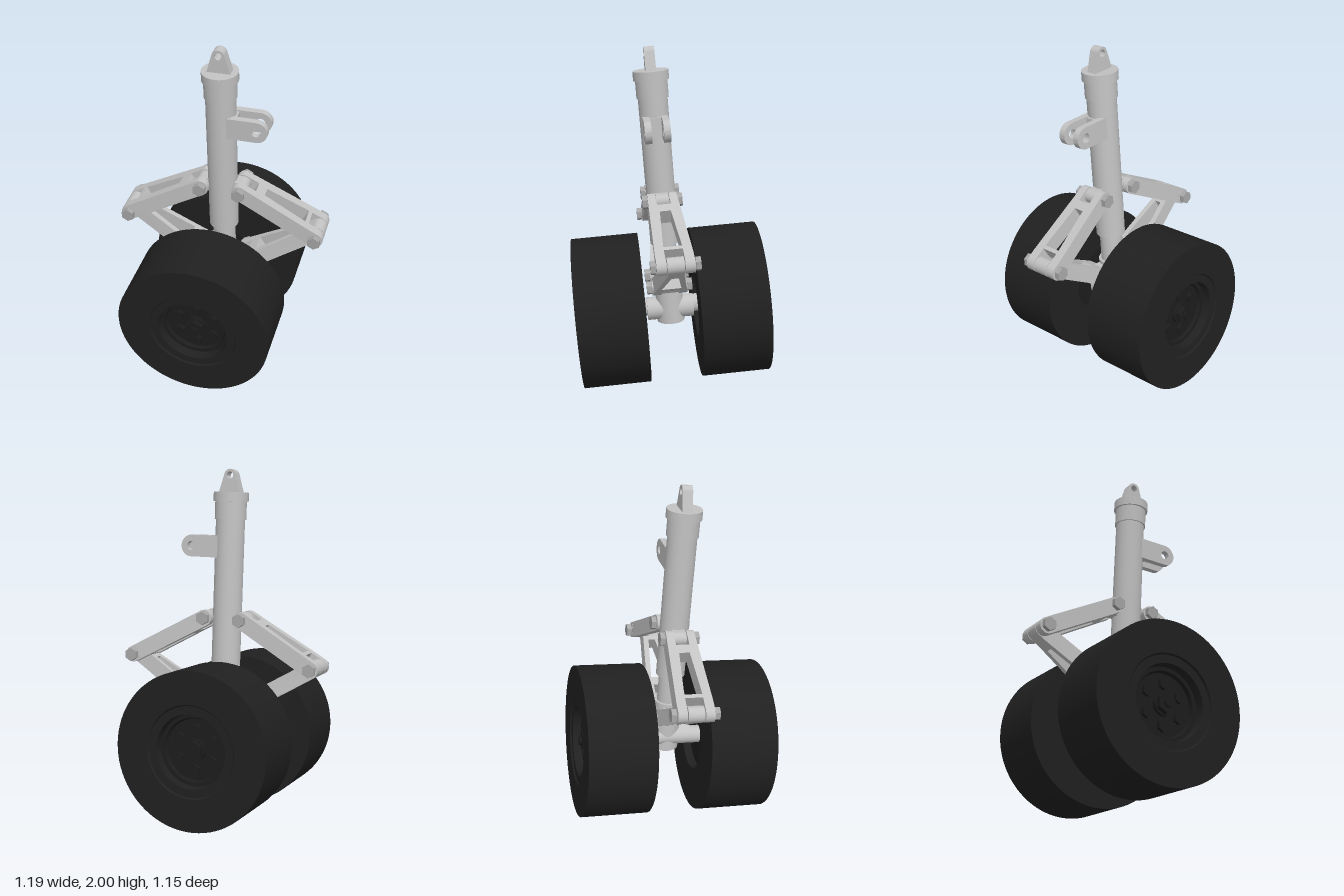
import * as THREE from 'three';
import { toCreasedNormals } from 'three/addons/utils/BufferGeometryUtils.js';

const mat = (name, color, side = THREE.FrontSide) => {
  const m = new THREE.MeshStandardMaterial({ color, side });
  m.name = name;
  return m;
};

export function createModel() {
  const metal = mat('light grey metal', 0xc2c2c2);
  const steel = mat('bolt steel', 0xa6a6a6);
  const rubber = mat('black rubber', 0x202020);
  const dark = mat('dark wheel hub', 0x1c1c1c);

  const add = (parent, name, geo, material, x = 0, y = 0, z = 0) => {
    const mesh = new THREE.Mesh(geo, material);
    mesh.name = name;
    mesh.position.set(x, y, z);
    parent.add(mesh);
    return mesh;
  };
  // cylinder lying along z between two depths
  const rod = (r, z0, z1, sides = 32) =>
    new THREE.CylinderGeometry(r, r, z1 - z0, sides).rotateX(Math.PI / 2).translate(0, 0, (z0 + z1) / 2);
  const lathe = (pts, seg) =>
    toCreasedNormals(new THREE.LatheGeometry(pts.map(p => new THREE.Vector2(...p)), seg), 0.5);
  const plate = (shape, depth) => toCreasedNormals(
    new THREE.ExtrudeGeometry(shape, { depth, bevelEnabled: false, curveSegments: 16 }).translate(0, 0, -depth / 2), 0.5);
  const poly = pts => pts.map(p => new THREE.Vector2(...p));

  const model = new THREE.Group();
  model.name = 'landingGear';
  // whole gear leans forward about the axle
  const gear = new THREE.Group();
  gear.name = 'gear';
  gear.position.set(-0.007, 0.482, 0);
  gear.rotation.x = 0.0785;
  model.add(gear);

  // strut: outer cylinder with collars, piston, and axle block
  add(gear, 'strutCylinder', lathe([[0, 0.4], [0.083, 0.4], [0.083, 1.24], [0.09, 1.24], [0.09, 1.34],
    [0.1, 1.34], [0.1, 1.392], [0, 1.392]], 48), metal);
  add(gear, 'piston', lathe([[0, -0.08], [0.08, -0.08], [0.08, 0.23], [0.065, 0.23], [0.065, 0.42]], 40), metal);
  add(gear, 'axle', rod(0.067, -0.135, 0.135), metal);
  add(gear, 'axleStub', rod(0.052, -0.2, 0.2), metal, -0.03);

  // top mounting lug
  const topLug = new THREE.Shape();
  topLug.moveTo(-0.068, 1.38);
  topLug.lineTo(0.068, 1.38);
  topLug.lineTo(0.034, 1.495);
  topLug.absarc(0, 1.487, 0.035, 0.23, Math.PI - 0.23, false);
  topLug.closePath();
  topLug.holes.push(new THREE.Path().absarc(0, 1.487, 0.02, 0, Math.PI * 2, true));
  add(gear, 'topLug', plate(topLug, 0.058), metal);

  // pair of side lugs
  const sideLug = new THREE.Shape();
  sideLug.moveTo(0.03, -0.062);
  sideLug.lineTo(0.21, -0.062);
  sideLug.absarc(0.21, 0, 0.062, -Math.PI / 2, Math.PI / 2, false);
  sideLug.lineTo(0.03, 0.062);
  sideLug.closePath();
  sideLug.holes.push(new THREE.Path().absarc(0.21, 0, 0.026, 0, Math.PI * 2, true));
  for (const z of [-0.051, 0.051]) add(gear, 'sideLug', plate(sideLug, 0.037), metal, 0, 1.084, z);
  add(gear, 'sideLugBase', new THREE.BoxGeometry(0.07, 0.11, 0.08), metal, 0.06, 1.084, 0);

  // hex bolt through a pivot
  const bolt = (x, y, half, off = 0) => {
    const g = new THREE.Group();
    g.name = 'pivotBolt';
    g.position.set(x, y, off);
    gear.add(g);
    add(g, 'boltShaft', rod(0.022, -half, half, 20), steel);
    for (const s of [-1, 1]) {
      const head = rod(0.039, -0.014, 0.014, 6);
      add(g, 'boltHead', toCreasedNormals(head, 0.5), steel, 0, 0, s * (half + 0.014));
    }
  };

  // tapered link with a window; h = half widths, n = half notch widths, off = depth shift at the outer end
  const T = 0.092;
  const link = (name, from, to, [h0, h1], [n0, n1], off) => {
    const dx = to[0] - from[0], dy = to[1] - from[1], L = Math.hypot(dx, dy), d = 0.075;
    const g = new THREE.Group();
    g.name = name;
    g.position.set(from[0], from[1], 0);
    g.rotation.z = Math.atan2(dy, dx);
    gear.add(g);
    const at = (s, w) => [s, w + off * s / L];
    const outer = n1 ? [at(L, -n1), at(L - d, -n1), at(L - d, n1), at(L, n1)] : [];
    const k = L - 0.05;
    const shape = new THREE.Shape(poly([
      at(0, -h0), at(k, -h1), at(L, -h1), ...outer, at(L, h1), at(k, h1),
      at(0, h0), at(0, n0), at(d, n0), at(d, -n0), at(0, -n0)]));
    const win = h0 < h1 ? [0.03, 0.05] : [0.055, 0.02];
    shape.holes.push(new THREE.Path(poly([
      at(0.13, -win[0]), at(0.13, win[0]), at(0.4, win[1]), at(0.4, -win[1])])));
    add(g, name + 'Body', plate(shape, T).rotateX(Math.PI / 2), metal);
    // rounded knuckles
    for (const [s, h, n, o] of [[0, h0, n0, 0], [L, h1, n1, off]]) {
      const spans = n ? [[-h, -n], [n, h]] : [[-h, h]];
      for (const [a, b] of spans) add(g, name + 'Knuckle', rod(T / 2, a, b), metal, s, 0, o);
    }
  };

  // scissor links on both sides
  for (const s of [-1, 1]) {
    const off = s > 0 ? -0.02 : 0;
    const top = [s * 0.112, 0.674], elbow = [s * 0.547, 0.432], low = [s * 0.112, 0.168];
    link('upperLink', top, elbow, [0.082, 0.102], [0.038, 0.05], off);
    link('lowerLink', low, elbow, [0.1, 0.045], [0.05, 0], off);
    bolt(...top, 0.084);
    bolt(...elbow, 0.106, off);
    bolt(...low, 0.102);
    // strut lugs that carry the links
    for (const [p, w] of [[top, 0.036], [low, 0.047]]) {
      add(gear, 'linkLug', new THREE.BoxGeometry(0.08, 0.08, 2 * w), metal, s * 0.072, p[1], 0);
      add(gear, 'linkLugEnd', rod(0.04, -w, w), metal, p[0], p[1], 0);
    }
  }

  // wheels
  for (const s of [1, -1]) {
    const wheel = new THREE.Group();
    wheel.name = s > 0 ? 'frontWheel' : 'backWheel';
    wheel.position.set(-0.041, 0, s * 0.347);
    if (s < 0) wheel.rotation.y = Math.PI;
    gear.add(wheel);
    const tyre = lathe([[0.19, -0.15], [0.2, -0.195], [0.44, -0.195], [0.44, 0.195], [0.257, 0.195],
      [0.25, 0.185], [0.205, 0.185], [0.198, 0.12]], 80);
    add(wheel, 'tyre', tyre.rotateX(Math.PI / 2), rubber);
    const hub = lathe([[0, -0.15], [0.2, -0.15], [0.2, 0.135], [0.178, 0.135], [0.17, 0.115], [0, 0.115]], 48);
    add(wheel, 'hub', hub.rotateX(Math.PI / 2), dark);
    add(wheel, 'hubBoss', rod(0.06, 0.11, 0.135, 24), dark);
    add(wheel, 'hubNut', toCreasedNormals(rod(0.055, 0.13, 0.165, 6), 0.5), dark);
    add(wheel, 'axleTip', rod(0.024, 0.16, 0.18, 16), dark);
    for (let i = 0; i < 6; i++) {
      const a = Math.PI / 2 + i * Math.PI / 3;
      add(wheel, 'wheelBolt', toCreasedNormals(rod(0.033, 0.11, 0.135, 6), 0.5), dark,
        0.113 * Math.cos(a), 0.113 * Math.sin(a), 0);
    }
  }
  return model;
}
